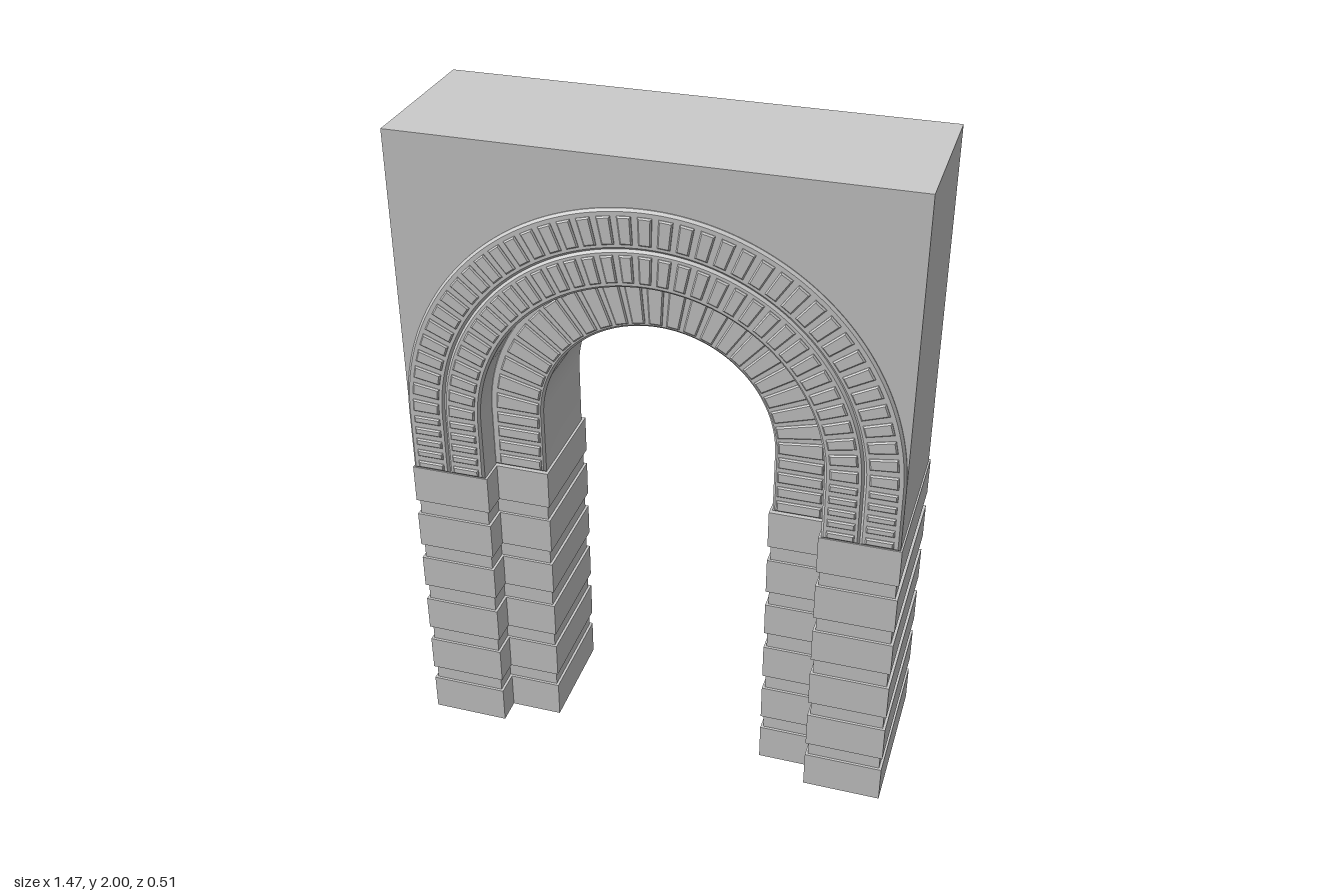
import * as THREE from 'three';
import { mergeGeometries, toCreasedNormals } from 'three/addons/utils/BufferGeometryUtils.js';

const material = new THREE.MeshStandardMaterial({ color: 0xcccccc });
const SPRING = 0.94;   // top of the piers
const CENTRE = 1.135;  // centre of the round part of the arch
const HALF = 0.73;     // half width of the wall

function addMesh(group, name, geometry) {
  const mesh = new THREE.Mesh(geometry, material);
  mesh.name = name;
  group.add(mesh);
}

// Extrusion through the full thickness, centred on z = 0, chamfered inwards at both faces
function extrude(shape, halfDepth, bevel = 0) {
  const geometry = new THREE.ExtrudeGeometry(shape, {
    depth: 2 * (halfDepth - bevel), curveSegments: 48,
    bevelEnabled: bevel > 0, bevelThickness: bevel, bevelSize: bevel,
    bevelOffset: -bevel, bevelSegments: 1,
  });
  return geometry.translate(0, 0, bevel - halfDepth);
}

// Stilted arch band between two radii
function archShape(r0, r1) {
  const s = new THREE.Shape();
  s.moveTo(r1, SPRING);
  s.lineTo(r1, CENTRE);
  s.absarc(0, CENTRE, r1, 0, Math.PI, false);
  s.lineTo(-r1, SPRING);
  s.lineTo(-r0, SPRING);
  s.lineTo(-r0, CENTRE);
  s.absarc(0, CENTRE, r0, Math.PI, 0, true);
  s.lineTo(r0, SPRING);
  return s;
}

// Raised bricks: wedges round the arch, straight courses down both stilts
function bricks(r0, r1, halfDepth, arcCount, straightCount, gap) {
  const parts = [];
  const add = (points) => parts.push(
    extrude(new THREE.Shape(points.map((p) => new THREE.Vector2(...p))), halfDepth, 0.004));
  const step = Math.PI / arcCount;
  const mid = (r0 + r1) / 2;
  const half = step / 2 - gap / (2 * mid);
  for (let i = 0; i < arcCount; i++) {
    const a = (i + 0.5) * step;
    const at = (r, t) => [r * Math.cos(t), CENTRE + r * Math.sin(t)];
    add([at(r0, a - half), at(r1, a - half), at(r1, a + half), at(r0, a + half)]);
  }
  const pitch = (CENTRE - SPRING) / straightCount;
  for (let i = 0; i < straightCount; i++) {
    const y0 = SPRING + i * pitch + gap / 2;
    const y1 = y0 + pitch - gap;
    add([[r0, y0], [r1, y0], [r1, y1], [r0, y1]]);
    add([[-r1, y0], [-r0, y0], [-r0, y1], [-r1, y1]]);
  }
  return mergeGeometries(parts);
}

// One pier: full blocks alternating with slightly inset courses
function createPier(side) {
  const pier = new THREE.Group();
  pier.name = side > 0 ? 'leftPier' : 'rightPier';
  const levels = [0, 0.118, 0.165, 0.28, 0.33, 0.443, 0.498, 0.605, 0.655, 0.77, 0.82, SPRING];
  for (let i = 0; i < levels.length - 1; i++) {
    const inset = i % 2 ? 0.008 : 0;
    const h = levels[i + 1] - levels[i];
    const block = (name, x0, x1, halfDepth) => addMesh(pier, name,
      new THREE.BoxGeometry(x1 - x0, h, 2 * halfDepth)
        .translate(side * (x0 + x1) / 2, levels[i] + h / 2, 0));
    const kind = inset ? 'Course' : 'Block';
    block('outer' + kind, 0.498 + inset, 0.735 - inset, 0.245 - inset);
    block('inner' + kind, 0.337 + inset, 0.6, 0.167 - inset);
  }
  return pier;
}

export function createModel() {
  const model = new THREE.Group();
  model.name = 'archway';

  // Wall with the wide stilted opening
  const wall = new THREE.Shape();
  wall.moveTo(HALF, SPRING);
  wall.lineTo(HALF, 2);
  wall.lineTo(-HALF, 2);
  wall.lineTo(-HALF, SPRING);
  wall.lineTo(-0.505, SPRING);
  wall.lineTo(-0.505, CENTRE);
  wall.absarc(0, CENTRE, 0.505, Math.PI, 0, true);
  wall.lineTo(0.505, SPRING);
  addMesh(model, 'wall', toCreasedNormals(extrude(wall, 0.238), 0.4));

  // Two concentric rings on the wall faces and a deeper set inner ring
  const rings = [
    { name: 'outerRing', r: [0.615, 0.73], b: [0.631, 0.711], z: 0.248, arc: 39, straight: 5, gap: 0.017 },
    { name: 'middleRing', r: [0.505, 0.615], b: [0.521, 0.6], z: 0.248, arc: 35, straight: 5, gap: 0.016 },
    { name: 'innerRing', r: [0.345, 0.51], b: [0.357, 0.487], z: 0.16, arc: 23, straight: 4, gap: 0.014 },
  ];
  for (const { name, r, b, z, arc, straight, gap } of rings) {
    const ring = new THREE.Group();
    ring.name = name;
    addMesh(ring, name + 'Band', toCreasedNormals(extrude(archShape(...r), z, 0.007), 0.4));
    addMesh(ring, name + 'Bricks', bricks(...b, z + 0.006, arc, straight, gap));
    model.add(ring);
  }

  model.add(createPier(1), createPier(-1));
  return model;
}
